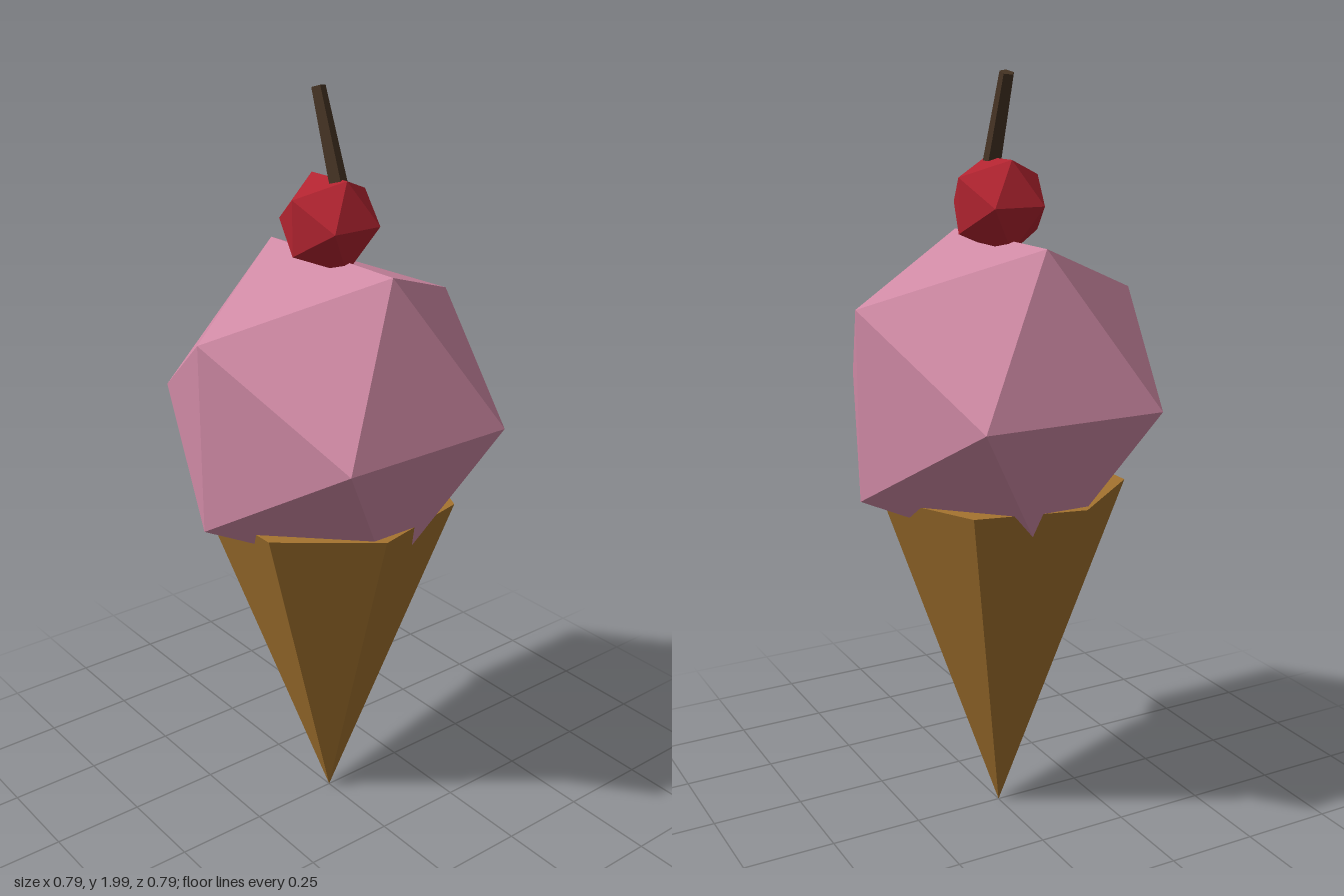
import * as THREE from 'three';

const flat = (name, color) => {
  const m = new THREE.MeshStandardMaterial({ color, flatShading: true });
  m.name = name;
  return m;
};

export function createModel() {
  const group = new THREE.Group();
  group.name = 'iceCream';

  const add = (name, geometry, material, x, y, z = 0) => {
    const mesh = new THREE.Mesh(geometry, material);
    mesh.name = name;
    mesh.position.set(x, y, z);
    group.add(mesh);
    return mesh;
  };

  // Seven-sided wafer cone, tip down
  const coneHeight = 0.94;
  const cone = add('cone', new THREE.ConeGeometry(0.335, coneHeight, 7),
    flat('wafer', 0xa5742f), 0, 0.01 + coneHeight / 2);
  cone.rotation.x = Math.PI;

  // Faceted scoop sunk into the cone
  add('scoop', new THREE.IcosahedronGeometry(0.464, 0), flat('pinkCream', 0xd08aa5), 0, 1.195);

  // Cherry on top
  add('cherry', new THREE.IcosahedronGeometry(0.132, 0), flat('cherryRed', 0xb22430), 0, 1.675);

  // Tapered stem leaning to the right side
  const bottom = new THREE.Vector3(0.052, 1.72, 0);
  const top = new THREE.Vector3(-0.044, 1.994, 0);
  const lean = top.clone().sub(bottom);
  const stem = add('stem', new THREE.CylinderGeometry(0.019, 0.026, lean.length(), 5),
    flat('stemBrown', 0x463424), (bottom.x + top.x) / 2, (bottom.y + top.y) / 2);
  stem.rotation.z = Math.atan2(-lean.x, lean.y);

  return group;
}
